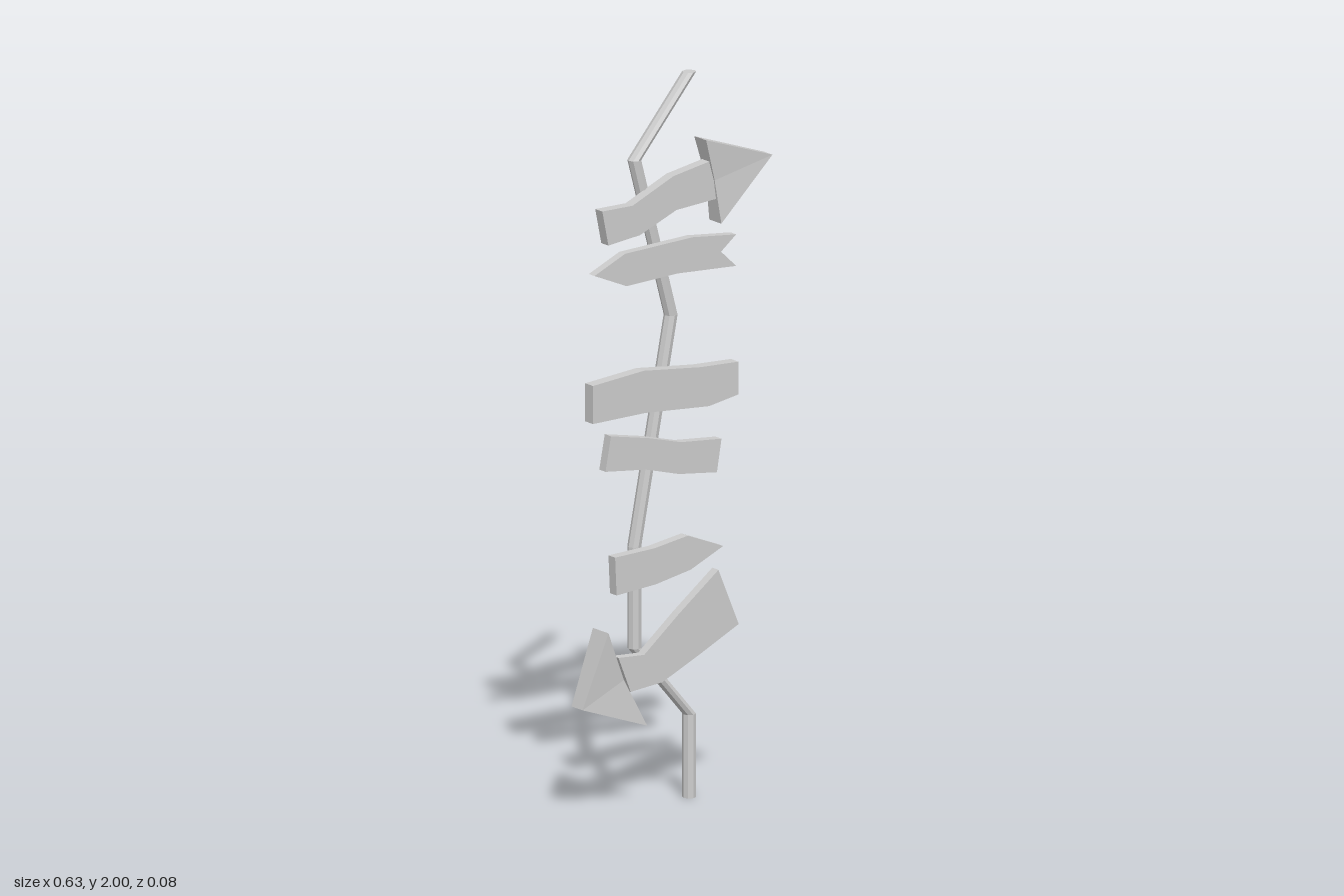
import * as THREE from 'three';

const material = new THREE.MeshStandardMaterial({ color: 0xcccccc, flatShading: true });

function add(group, name, geometry) {
  const mesh = new THREE.Mesh(geometry, material);
  mesh.name = name;
  group.add(mesh);
}

// Flat plate cut to an outline, spanning z = back..front
function plate(outline, back, front) {
  const shape = new THREE.Shape(outline.map(([x, y]) => new THREE.Vector2(x, y)));
  const geometry = new THREE.ExtrudeGeometry(shape, { depth: front - back, bevelEnabled: false });
  return geometry.translate(0, 0, back);
}

// Triangular head: thick at both barbs, thinner at the tip and the middle of the base
function arrowHead(a, b, tip, barbHalf, thinHalf, z) {
  const mid = [0, 1].map(i => (a[i] + b[i]) / 2 * 0.96 + tip[i] * 0.04);
  const geometry = plate([a, mid, b, tip], -1, 1);
  const pos = geometry.attributes.position;
  for (let i = 0; i < pos.count; i++) {
    const isBarb = [a, b].some(p => Math.hypot(pos.getX(i) - p[0], pos.getY(i) - p[1]) < 1e-4);
    pos.setZ(i, z + pos.getZ(i) * (isBarb ? barbHalf : thinHalf));
  }
  geometry.computeVertexNormals();
  return geometry;
}

// Crooked pole: a cylinder whose level rings are shifted along a zigzag
function crookedPole(path, radius, z) {
  const geometry = new THREE.CylinderGeometry(radius, radius, path.length - 1, 8, path.length - 1);
  const pos = geometry.attributes.position;
  for (let i = 0; i < pos.count; i++) {
    const [x, y] = path[Math.round(pos.getY(i) + (path.length - 1) / 2)];
    pos.setXYZ(i, pos.getX(i) + x, y, pos.getZ(i) + z);
  }
  geometry.computeVertexNormals();
  return geometry;
}

export function createModel() {
  const group = new THREE.Group();
  group.name = 'crookedSignpost';

  add(group, 'pole', crookedPole([
    [0.076, 0], [0.076, 0.23], [-0.105, 0.44], [-0.105, 0.72],
    [0.015, 1.34], [-0.105, 1.785], [0.076, 2],
  ], 0.0188, -0.025));

  // Bottom arrow sign
  add(group, 'bottomArrowBoard', plate([
    [0.14, 0.625], [0.01, 0.525], [-0.105, 0.43], [-0.19, 0.435],
    [-0.15, 0.335], [-0.045, 0.345], [0.08, 0.403], [0.207, 0.465],
  ], -0.008, 0.02));
  add(group, 'bottomArrowHead',
    arrowHead([-0.238, 0.515], [-0.11, 0.24], [-0.316, 0.313], 0.035, 0.025, 0.005));

  // Small pointed sign
  add(group, 'smallPointedBoard', plate([
    [-0.205, 0.715], [-0.075, 0.72], [0.035, 0.737], [0.152, 0.69],
    [0.045, 0.642], [-0.07, 0.62], [-0.2, 0.61],
  ], -0.005, 0.025));

  // Two plain boards
  add(group, 'lowerPlainBoard', plate([
    [-0.215, 1.05], [-0.09, 1.025], [0.015, 0.997], [0.15, 0.985],
    [0.135, 0.895], [0.01, 0.91], [-0.1, 0.94], [-0.233, 0.955],
  ], -0.008, 0.02));
  add(group, 'upperPlainBoard', plate([
    [-0.278, 1.2], [-0.11, 1.215], [0.077, 1.195], [0.203, 1.19],
    [0.203, 1.1], [0.105, 1.083], [-0.105, 1.098], [-0.278, 1.095],
  ], -0.01, 0.025));

  // Pointed sign with a notched tail
  add(group, 'notchedBoard', plate([
    [-0.268, 1.5], [-0.167, 1.545], [0.055, 1.555], [0.2, 1.54],
    [0.15, 1.5], [0.2, 1.453], [0.008, 1.463], [-0.162, 1.455],
  ], -0.008, 0.018));

  // Top arrow sign
  add(group, 'topArrowBoard', plate([
    [-0.245, 1.675], [-0.145, 1.675], [-0.01, 1.735], [0.112, 1.757],
    [0.135, 1.65], [0, 1.64], [-0.12, 1.59], [-0.225, 1.578],
  ], -0.01, 0.022));
  add(group, 'topArrowHead',
    arrowHead([0.09, 1.82], [0.14, 1.582], [0.314, 1.743], 0.027, 0.02, 0.006));

  return group;
}
